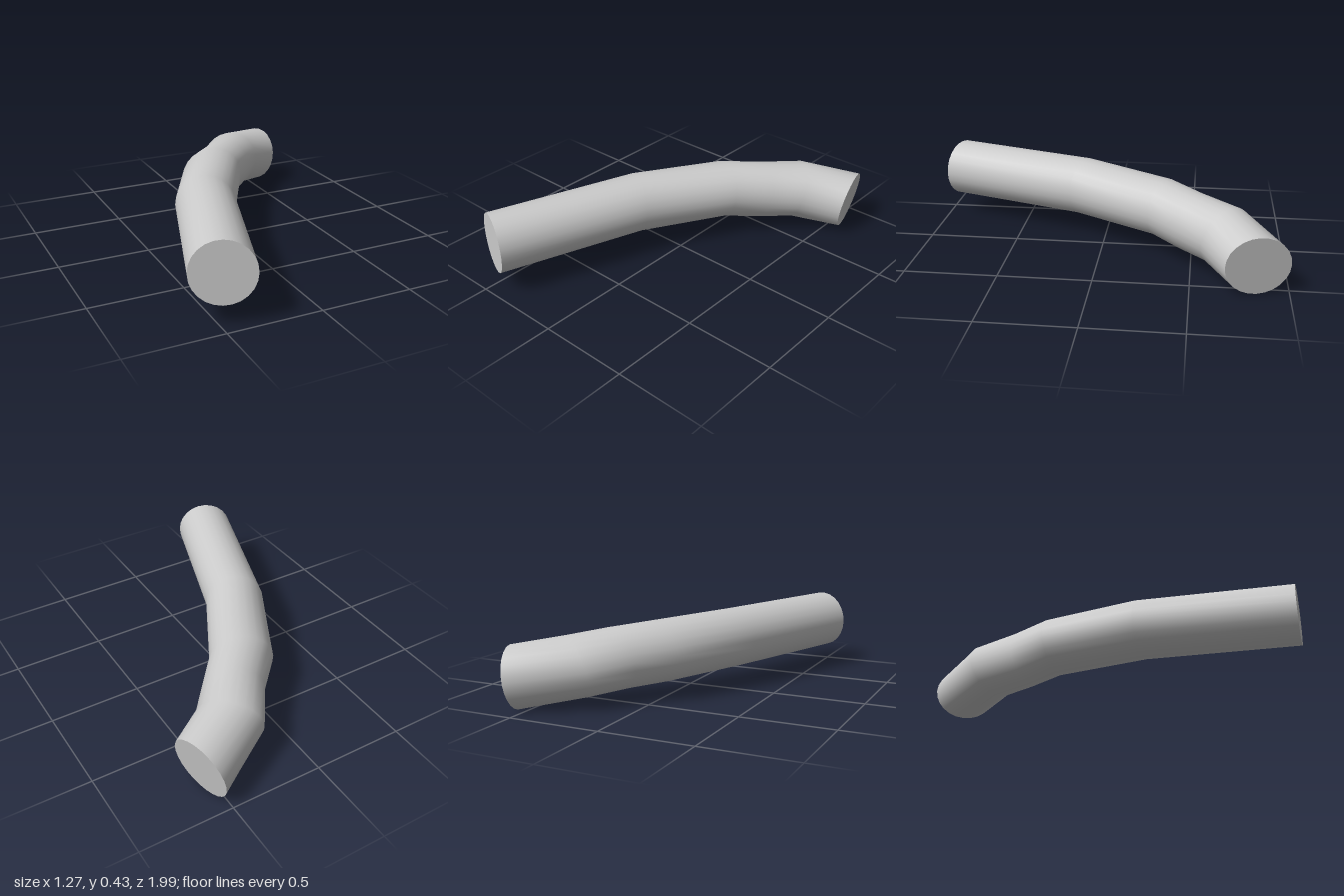
import * as THREE from 'three';

const SIDES = 24;

// Each ring: centre, half-width vector towards the outer side, half-height vector
const RINGS = [
  { c: [-0.485, 0.265, 0.928], side: [0.15, 0, 0.063], up: [0, 0.163, 0] },
  { c: [-0.213, 0.265, 0.13], side: [0.148, 0, 0.07], up: [0.004, 0.163, -0.006] },
  { c: [0.032, 0.248, -0.33], side: [0.157, 0, 0.07], up: [0.02, 0.162, -0.012] },
  { c: [0.18, 0.23, -0.49], side: [0.14, 0, 0.08], up: [0.024, 0.162, -0.02] },
  { c: [0.315, 0.21, -0.67], side: [0.125, 0, 0.12], up: [0.034, 0.16, -0.025] },
  { c: [0.582, 0.163, -0.835], side: [0.042, 0, 0.165], up: [0.029, 0.163, 0] },
];

function ringPoints({ c, side, up }) {
  return Array.from({ length: SIDES }, (_, j) => {
    const a = (j / SIDES) * Math.PI * 2;
    return c.map((v, k) => v + side[k] * Math.cos(a) + up[k] * Math.sin(a));
  });
}

function buildGeometry(points, index) {
  const g = new THREE.BufferGeometry();
  g.setAttribute('position', new THREE.Float32BufferAttribute(points.flat(), 3));
  g.setIndex(index);
  g.computeVertexNormals();
  return g;
}

// Smooth skin through all rings
function tubeGeometry() {
  const index = [];
  for (let i = 0; i < RINGS.length - 1; i++) {
    for (let j = 0; j < SIDES; j++) {
      const k = (j + 1) % SIDES;
      const a = i * SIDES + j, b = i * SIDES + k;
      index.push(a, a + SIDES, b, b, a + SIDES, b + SIDES);
    }
  }
  return buildGeometry(RINGS.flatMap(ringPoints), index);
}

// Flat disc closing one end
function capGeometry(ring, reverse) {
  const index = [];
  for (let j = 0; j < SIDES; j++) {
    const a = j + 1, b = ((j + 1) % SIDES) + 1;
    index.push(0, ...(reverse ? [b, a] : [a, b]));
  }
  return buildGeometry([ring.c, ...ringPoints(ring)], index);
}

export function createModel() {
  const group = new THREE.Group();
  group.name = 'bentPipe';
  const material = new THREE.MeshStandardMaterial({ color: 0xcccccc });
  const add = (name, geometry) => {
    const mesh = new THREE.Mesh(geometry, material);
    mesh.name = name;
    group.add(mesh);
  };
  add('pipeBody', tubeGeometry());
  add('frontCap', capGeometry(RINGS[0], false));
  add('backCap', capGeometry(RINGS[RINGS.length - 1], true));
  return group;
}
